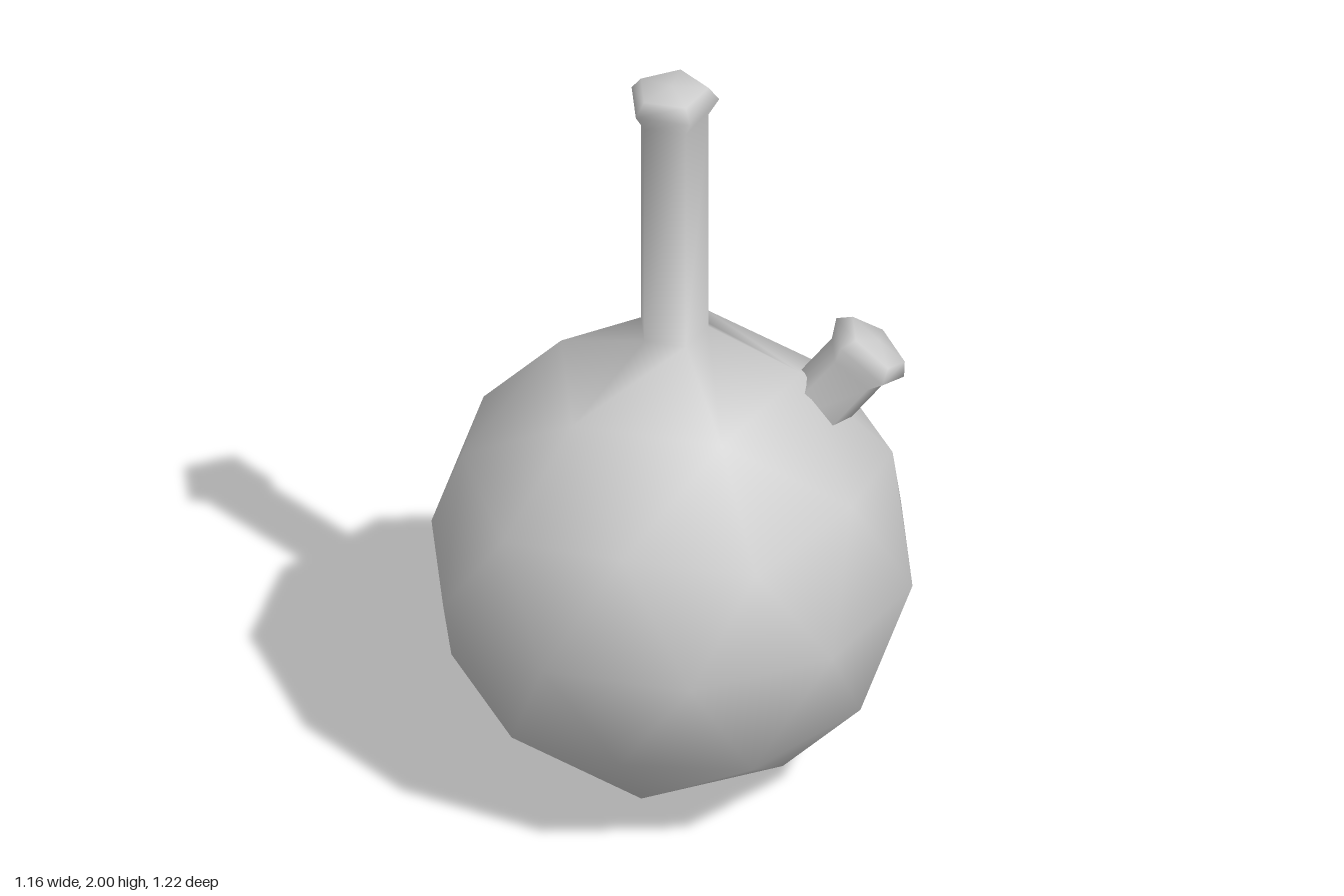
import * as THREE from 'three';

const R = 0.61;                 // radius of the round body
const STEP = Math.PI / 5;       // 36 degrees

// Five-sided flared lip: [radius, height relative to the widest ring], top down
const LIP = [[0, 0.045], [0.09, 0.035], [0.117, 0], [0.09, -0.045]];

// Collects rings of shared vertices and the triangles between them
function makeBuilder() {
  const pos = [], idx = [];
  return {
    // n vertices; each radius/height may alternate between two [r, y] pairs
    ring(n, pairs, offset = 0) {
      const out = [];
      for (let i = 0; i < n; i++) {
        const [r, y] = pairs[i % pairs.length];
        const a = offset + (i * 2 * Math.PI) / n;
        out.push(pos.length / 3);
        pos.push(r * Math.cos(a), y, -r * Math.sin(a));
      }
      return out;
    },
    tri(a, b, c) { idx.push(a, b, c); },
    // straight or half-step band between two rings of equal count
    band(up, low) {
      const n = up.length;
      for (let i = 0; i < n; i++) {
        const j = (i + 1) % n;
        this.tri(up[i], low[i], up[j]);
        this.tri(up[j], low[i], low[j]);
      }
    },
    // five-sided spout following a profile from its tip downwards
    spout(profile, yOffset) {
      const [tip] = this.ring(1, [[0, profile[0][1] + yOffset]]);
      let last = null;
      for (const [r, y] of profile.slice(1)) {
        const next = this.ring(5, [[r, y + yOffset]]);
        if (last) this.band(last, next);
        else next.forEach((v, i) => this.tri(tip, v, next[(i + 1) % 5]));
        last = next;
      }
      return last;
    },
    mesh(name) {
      const g = new THREE.BufferGeometry();
      g.setAttribute('position', new THREE.Float32BufferAttribute(pos, 3));
      g.setIndex(idx);
      g.computeVertexNormals();
      const m = new THREE.Mesh(g, new THREE.MeshStandardMaterial({ color: 0xcccccc, side: THREE.DoubleSide }));
      m.name = name;
      return m;
    },
  };
}

// Faceted ball whose top is drawn up into a long neck with a flared mouth
function makeFlask() {
  const b = makeBuilder();
  const at = (r, y) => [r * R, R + y * R];
  const corner = [0.894, 0.447], mid = [0.851, 0.526], cap = [0.526, 0.851];

  const neck = b.spout([...LIP, [0.09, -0.675]], 1.955);
  const shoulder = b.ring(5, [at(...cap)]);
  const upper = b.ring(10, [at(...corner), at(...mid)]);
  const equator = b.ring(10, [at(1, 0)], STEP / 2);
  const lower = b.ring(10, [at(corner[0], -corner[1]), at(mid[0], -mid[1])], STEP);
  const foot = b.ring(5, [at(cap[0], -cap[1])], STEP);
  const [bottom] = b.ring(1, [[0, 0]]);

  b.band(neck, shoulder);
  b.band(upper, equator);
  b.band(equator, lower);
  for (let k = 0; k < 5; k++) {
    const n = (k + 1) % 5, e = 2 * k, m = e + 1, f = (e + 2) % 10;
    // shoulder facets
    b.tri(shoulder[k], upper[e], upper[m]);
    b.tri(shoulder[k], upper[m], shoulder[n]);
    b.tri(shoulder[n], upper[m], upper[f]);
    // underside facets
    b.tri(foot[k], lower[m], lower[e]);
    b.tri(foot[k], foot[n], lower[m]);
    b.tri(foot[n], lower[f], lower[m]);
    b.tri(bottom, foot[n], foot[k]);
  }
  return b.mesh('flaskBodyAndNeck');
}

// Short slanted side stem with the same flared lip
function makeSideStem() {
  const b = makeBuilder();
  b.spout([...LIP, [0.09, -0.28]], 0);
  const stem = b.mesh('sideStem');
  stem.position.set(0.484, 1.181, 0);
  stem.rotation.z = -THREE.MathUtils.degToRad(40);
  return stem;
}

export function createModel() {
  const model = new THREE.Group();
  model.name = 'flask';
  model.add(makeFlask(), makeSideStem());
  return model;
}
